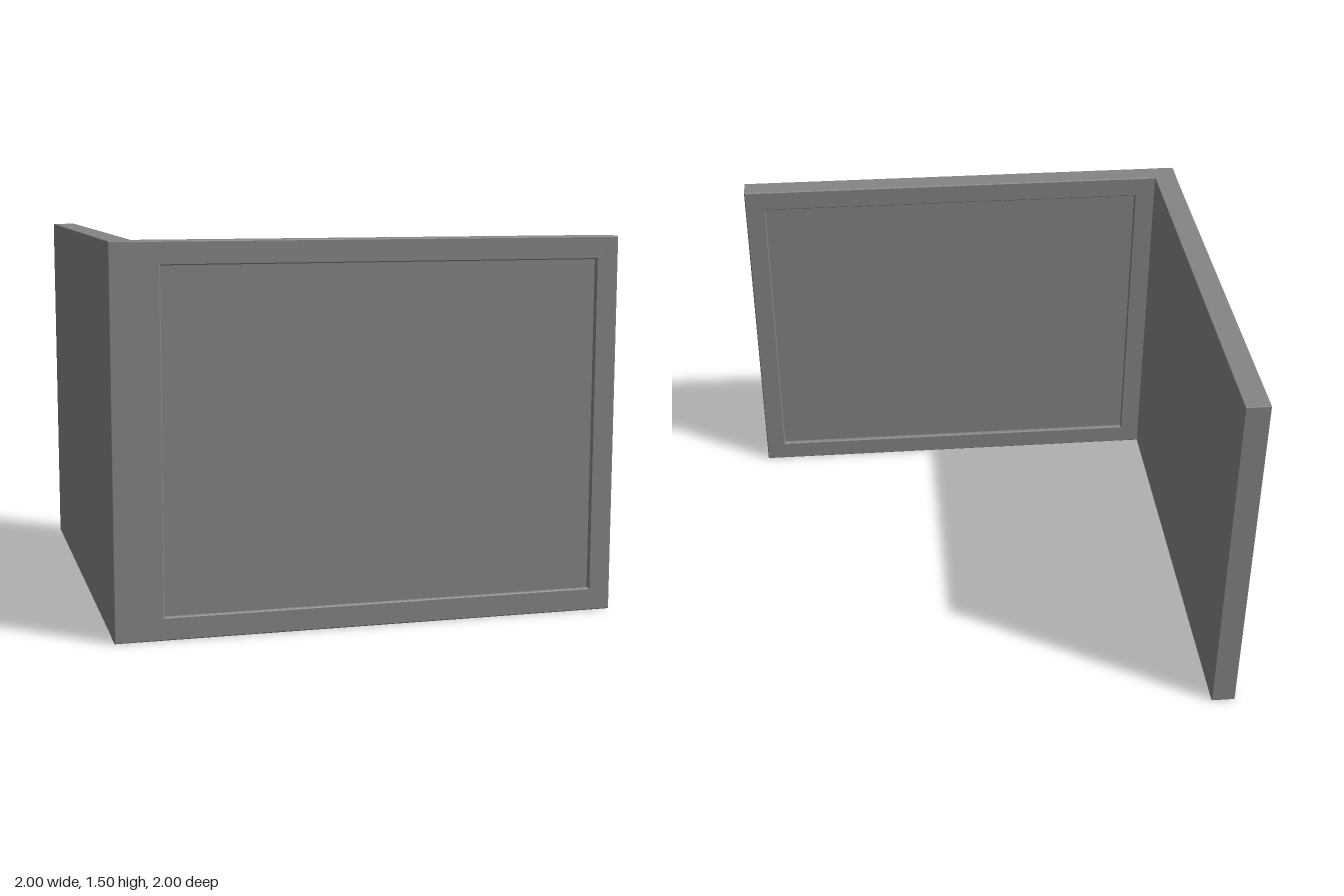
import * as THREE from 'three';
import { RoundedBoxGeometry } from 'three/addons/geometries/RoundedBoxGeometry.js';

const HEIGHT = 1.5, THICK = 0.1, BORDER = 0.09, RECESS = 0.018, BEVEL = 0.004;

export function createModel() {
  const group = new THREE.Group();
  const material = new THREE.MeshStandardMaterial({ color: 0x868583 });
  const add = (name, geometry, x, y, z) => {
    const mesh = new THREE.Mesh(geometry, material);
    mesh.name = name;
    mesh.position.set(x, y, z);
    group.add(mesh);
  };

  // Plain side wall with softened edges, running the full depth
  add('sideWall', new RoundedBoxGeometry(THICK, HEIGHT, 2, 2, BEVEL), -1 + THICK / 2, HEIGHT / 2, 0);

  // Front wall frame: bevelled rectangle with an opening, sharing the corner with the side wall
  const left = -1 + THICK + BORDER, right = 1 - BORDER;
  const rectangle = (PathType, x0, y0, x1, y1) => new PathType([
    new THREE.Vector2(x0, y0), new THREE.Vector2(x1, y0),
    new THREE.Vector2(x1, y1), new THREE.Vector2(x0, y1),
  ]);
  const outline = rectangle(THREE.Shape, -1, 0, 1, HEIGHT);
  outline.holes.push(rectangle(THREE.Path, left, BORDER, right, HEIGHT - BORDER));
  const frame = new THREE.ExtrudeGeometry(outline, {
    depth: THICK - 2 * BEVEL, bevelThickness: BEVEL, bevelSize: BEVEL, bevelOffset: -BEVEL, bevelSegments: 1,
  });
  add('frontFrame', frame, 0, 0, 1 - THICK + BEVEL);

  // Panel filling the opening, recessed on both faces
  add('insetPanel', new THREE.BoxGeometry(right - left, HEIGHT - 2 * BORDER, THICK - 2 * RECESS),
    (left + right) / 2, HEIGHT / 2, 1 - THICK / 2);

  return group;
}
